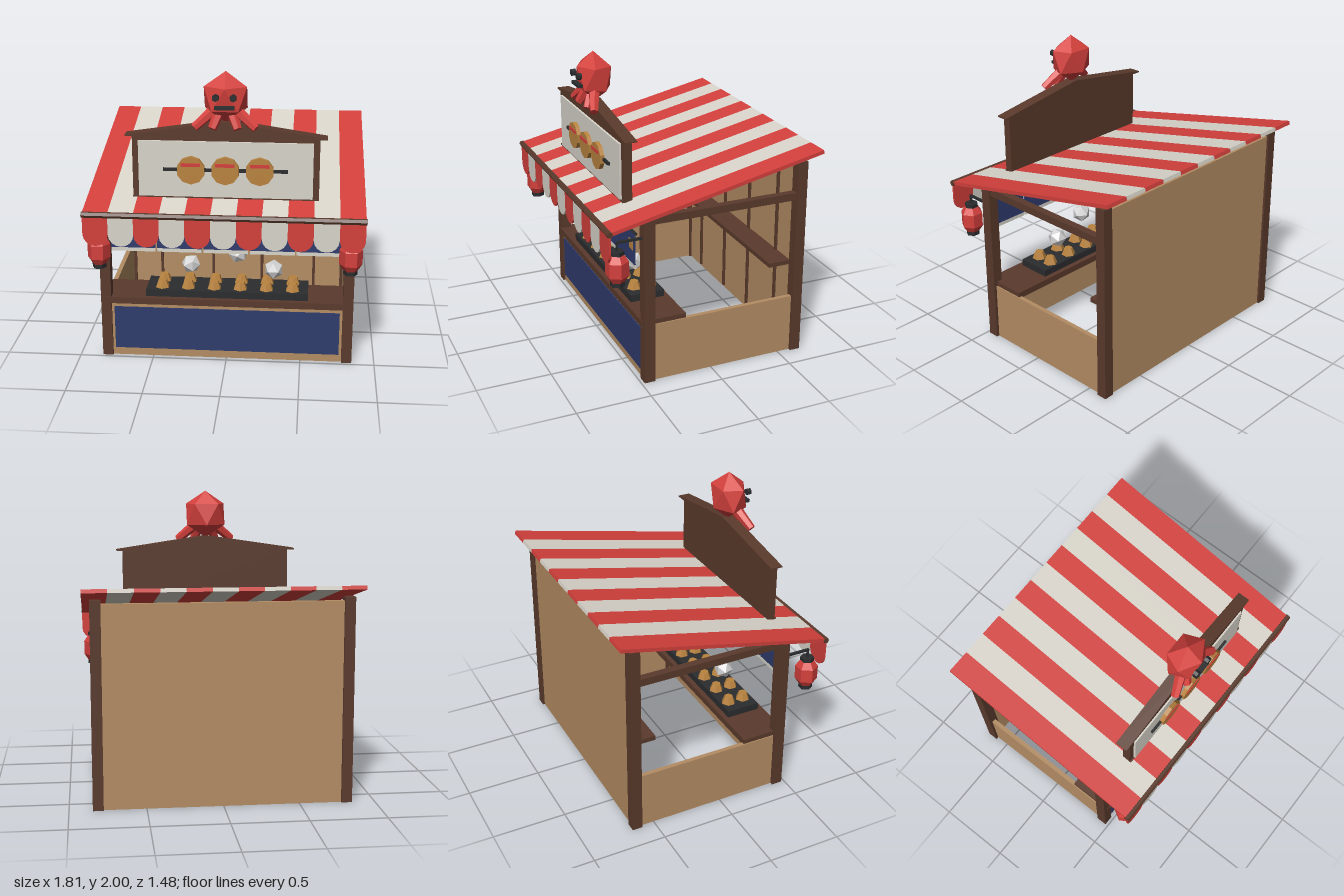
import * as THREE from 'three';

const mat = (name, color) => Object.assign(new THREE.MeshStandardMaterial({ color, flatShading: true }), { name });

export function createModel() {
  const wood = mat('dark wood', 0x5a3a2c);
  const tan = mat('tan plank', 0xb48d64);
  const blue = mat('indigo cloth', 0x2f3c6c);
  const red = mat('red', 0xd4403c);
  const cream = mat('cream', 0xd9d5cb);
  const black = mat('charcoal', 0x2b2c2e);
  const gold = mat('golden batter', 0xb9833f);
  const steam = mat('steam grey', 0xd6d6d6);

  const model = new THREE.Group();
  model.name = 'foodStall';

  const add = (name, geo, m, x = 0, y = 0, z = 0, parent = model) => {
    const mesh = new THREE.Mesh(geo, m);
    mesh.name = name;
    mesh.position.set(x, y, z);
    parent.add(mesh);
    return mesh;
  };
  // Box given by its min and max on each axis
  const box = (name, m, x0, x1, y0, y1, z0, z1, parent) =>
    add(name, new THREE.BoxGeometry(x1 - x0, y1 - y0, z1 - z0), m,
      (x0 + x1) / 2, (y0 + y1) / 2, (z0 + z1) / 2, parent);
  // Tapered rod between two points
  const rod = (name, m, a, b, r0, r1, sides, parent) => {
    const p = new THREE.Vector3(...a), q = new THREE.Vector3(...b), d = q.clone().sub(p);
    const mesh = add(name, new THREE.CylinderGeometry(r1, r0, d.length(), sides), m, 0, 0, 0, parent);
    mesh.position.copy(p).add(q).multiplyScalar(0.5);
    mesh.quaternion.setFromUnitVectors(new THREE.Vector3(0, 1, 0), d.normalize());
    return mesh;
  };

  // Frame and side panels
  for (const s of [-1, 1]) {
    const c = s * 0.813;
    box('frontPost', wood, c - 0.035, c + 0.035, 0, 1.16, 0.405, 0.48);
    box('backPost', wood, c - 0.035, c + 0.035, 0, 1.36, -0.66, -0.59);
    box('sideBeam', wood, c - 0.025, c + 0.025, 1.1, 1.15, -0.59, 0.405);
    box('sidePanel', tan, c - 0.015, c + 0.015, 0, 0.403, -0.59, 0.405);
  }
  box('frontBeam', wood, -0.78, 0.78, 1.1, 1.15, 0.415, 0.465);

  // Back wall with battens and shelf
  box('backWall', tan, -0.78, 0.78, 0, 1.335, -0.645, -0.605);
  for (const x of [-0.58, -0.185, 0.185, 0.58])
    box('wallBatten', wood, x - 0.01, x + 0.01, 0.02, 1.3, -0.605, -0.59);
  box('shelf', wood, -0.765, 0.765, 0.61, 0.64, -0.605, -0.45);

  // Counter
  box('frontPanel', tan, -0.78, 0.78, 0, 0.39, 0.425, 0.465);
  box('frontCloth', blue, -0.76, 0.76, 0.055, 0.36, 0.465, 0.472);
  box('counterTop', wood, -0.82, 0.82, 0.39, 0.435, 0.18, 0.485);

  // Griddle with two rows of dumplings
  box('griddle', black, -0.545, 0.545, 0.435, 0.483, 0.215, 0.45);
  const dumpling = new THREE.CylinderGeometry(0.03, 0.05, 0.05, 6);
  for (let i = 0; i < 6; i++)
    for (const z of [0.273, 0.385]) add('dumpling', dumpling, gold, -0.44 + i * 0.176, 0.508, z);

  // Steam puffs
  [[-0.25, 0.635, 0.3], [0.07, 0.72, 0.9], [0.31, 0.61, 1.5]].forEach(([x, y, turn]) => {
    add('steamPuff', new THREE.IcosahedronGeometry(0.066, 0), steam, x, y, 0.335).rotation.y = turn;
  });

  // Hanging curtain
  rod('curtainRod', black, [-0.78, 1.03, 0.505], [0.78, 1.03, 0.505], 0.01, 0.01, 6);
  for (let i = -2; i <= 2; i++) {
    const x = i * 0.306;
    box('curtainPanel', blue, x - 0.147, x + 0.147, 0.81, 1.03, 0.5, 0.51);
    box('curtainHem', cream, x - 0.147, x + 0.147, 0.785, 0.81, 0.5, 0.51);
  }
  for (const x of [-0.71, -0.42, 0.42, 0.71])
    box('curtainPatch', gold, x - 0.03, x + 0.03, 0.905, 0.97, 0.51, 0.514);

  // Striped sloping awning with scalloped valance
  const stripe = 1.8 / 11, half = stripe / 2;
  const awning = new THREE.Group();
  awning.name = 'awning';
  awning.position.set(0, 1.27, -0.01);
  awning.rotation.x = Math.atan2(0.32, 1.46);
  model.add(awning);
  const scallop = new THREE.Shape();
  scallop.moveTo(-half, 1.1);
  scallop.lineTo(-half, 0.98);
  scallop.absellipse(0, 0.98, half, 0.08, Math.PI, Math.PI * 2, false);
  scallop.lineTo(half, 1.1);
  const flap = new THREE.ExtrudeGeometry(scallop, { depth: 0.012, bevelEnabled: false, curveSegments: 4 });
  for (let i = 0; i < 11; i++) {
    const x = (i - 5) * stripe, m = i % 2 ? cream : red;
    box('awningStripe', m, x - half, x + half, -0.0125, 0.0125, -0.7475, 0.7475, awning);
    add('valanceFlap', flap, m, x, 0, 0.716);
  }
  rod('awningRail', wood, [-0.905, 1.11, 0.722], [0.905, 1.11, 0.722], 0.02, 0.02, 6);

  // Sign board with gable
  box('signBoard', wood, -0.6, 0.6, 1.14, 1.58, 0.455, 0.51);
  box('signFrameBottom', wood, -0.6, 0.6, 1.17, 1.18, 0.51, 0.52);
  box('signFace', cream, -0.56, 0.56, 1.18, 1.55, 0.51, 0.525);
  const gable = new THREE.Shape([[-0.645, 1.575], [0.645, 1.575], [0.645, 1.583], [0, 1.68], [-0.645, 1.583]]
    .map(p => new THREE.Vector2(...p)));
  add('signGable', new THREE.ExtrudeGeometry(gable, { depth: 0.083, bevelEnabled: false }), wood, 0, 0, 0.435);

  // Skewer emblem on the sign
  box('skewer', black, -0.4, 0.4, 1.355, 1.375, 0.525, 0.54);
  const disc = new THREE.CylinderGeometry(0.092, 0.092, 0.028, 10).rotateX(Math.PI / 2);
  for (const x of [-0.22, 0, 0.22]) {
    add('skewerBall', disc, gold, x, 1.365, 0.542);
    box('sauceStripe', red, x - 0.062, x + 0.062, 1.393, 1.415, 0.556, 0.562);
  }

  // Octopus on the roof
  const octopus = new THREE.Group();
  octopus.name = 'octopus';
  model.add(octopus);
  const head = new THREE.IcosahedronGeometry(1, 0)
    .rotateZ(Math.atan2(1, (1 + Math.sqrt(5)) / 2)).rotateY(Math.PI / 2).scale(0.16, 0.167, 0.126);
  add('head', head, red, 0, 1.833, 0.478, octopus);
  const eye = new THREE.CylinderGeometry(0.023, 0.023, 0.03, 6).rotateX(Math.PI / 2);
  for (const s of [-1, 1]) {
    add('eye', eye, black, s * 0.055, 1.855, 0.597, octopus);
    rod('outerTentacle', red, [s * 0.07, 1.755, 0.5], [s * 0.195, 1.65, 0.55], 0.038, 0.028, 6, octopus);
    rod('innerTentacle', red, [s * 0.035, 1.755, 0.5], [s * 0.08, 1.645, 0.555], 0.038, 0.028, 6, octopus);
  }
  box('mouth', black, -0.063, 0.063, 1.78, 1.8, 0.575, 0.608, octopus);

  // Paper lanterns on brackets
  const body = new THREE.LatheGeometry(
    [[0.045, 0.75], [0.075, 0.795], [0.075, 0.89], [0.045, 0.935]].map(p => new THREE.Vector2(...p)), 6)
    .rotateY(Math.PI / 6);
  const cap = new THREE.CylinderGeometry(0.046, 0.046, 0.028, 6).rotateY(Math.PI / 6);
  for (const s of [-1, 1]) {
    const x = s * 0.813;
    add('lanternBody', body, red, x, 0, 0.645);
    add('lanternTop', cap, black, x, 0.945, 0.645);
    add('lanternBottom', cap, black, x, 0.738, 0.645);
    box('lanternHanger', black, x - 0.006, x + 0.006, 0.955, 1.015, 0.639, 0.651);
    box('lanternBracket', black, x - 0.008, x + 0.008, 1.005, 1.02, 0.475, 0.651);
  }
  return model;
}
